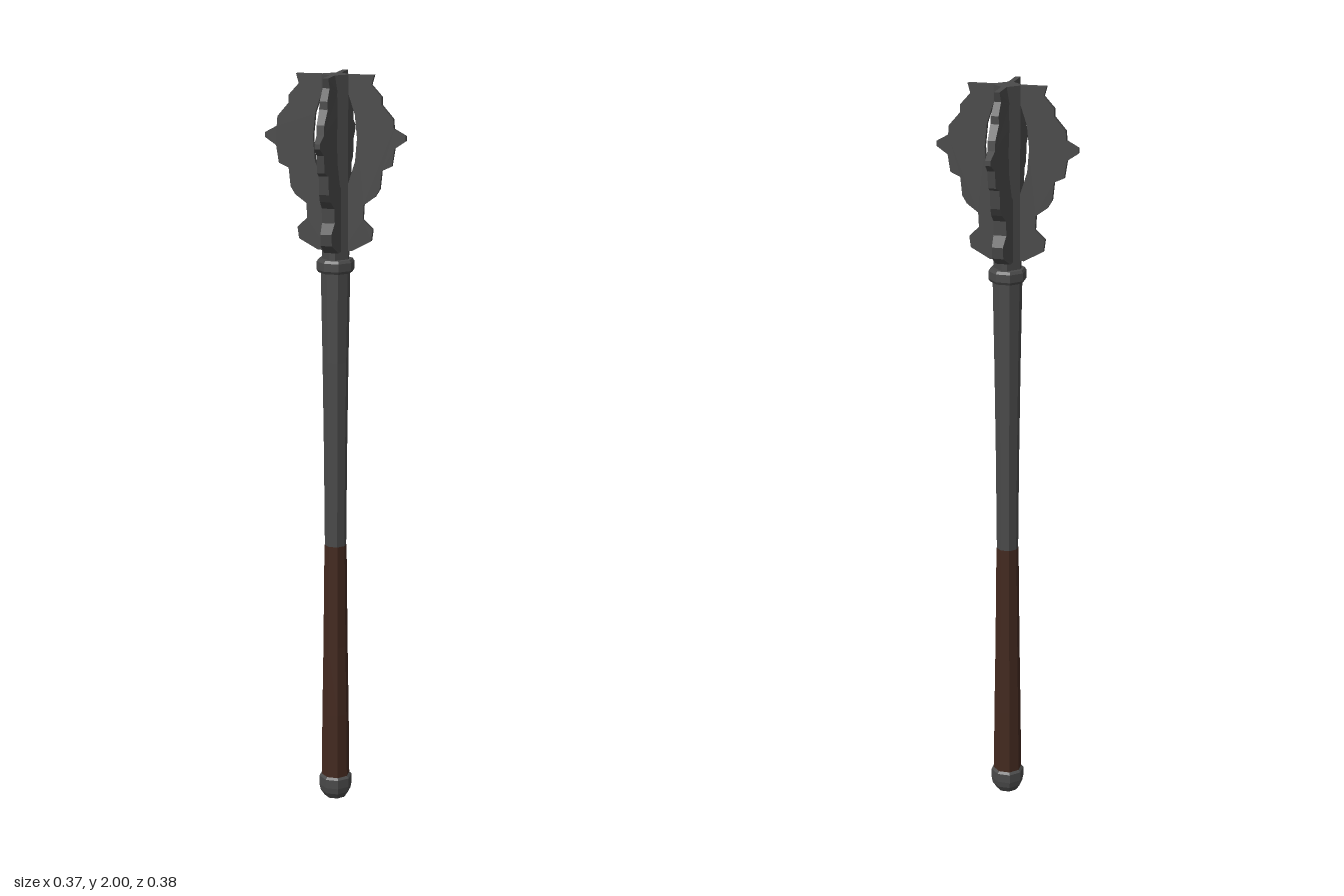
import * as THREE from 'three';

export function createModel() {
  const model = new THREE.Group();
  model.name = 'flangedMace';

  const material = (name, color) => {
    const m = new THREE.MeshStandardMaterial({ color, flatShading: true });
    m.name = name;
    return m;
  };
  const steel = material('darkSteel', 0x4a4a4a);
  const leather = material('brownLeather', 0x43291f);

  const add = (name, geometry, mat, parent = model) => {
    const mesh = new THREE.Mesh(geometry, mat);
    mesh.name = name;
    parent.add(mesh);
    return mesh;
  };

  // Eight-sided turned part; radii are measured to the flats facing the axes
  const turned = (name, profile, mat) => {
    const k = 1 / Math.cos(Math.PI / 8);
    const points = profile.map(([r, y]) => new THREE.Vector2(r * k, y));
    return add(name, new THREE.LatheGeometry(points, 8, Math.PI / 8), mat);
  };

  turned('pommel', [[0, 0], [0.028, 0], [0.039, 0.018], [0.042, 0.035], [0.042, 0.06], [0.036, 0.066], [0, 0.066]], steel);
  turned('grip', [[0.036, 0.06], [0.034, 0.25], [0.031, 0.45], [0.028, 0.74]], leather);
  turned('shaft', [[0.027, 0.735], [0.029, 1.0], [0.032, 1.25], [0.036, 1.495]], steel);
  turned('collar', [[0, 1.49], [0.042, 1.49], [0.046, 1.497], [0.046, 1.518], [0.042, 1.525], [0, 1.525]], steel);

  // Diamond core with clipped corners
  const a = 0.035, b = 0.007;
  const coreShape = new THREE.Shape(
    [[a, -b], [a, b], [b, a], [-b, a], [-a, b], [-a, -b], [-b, -a], [b, -a]].map(([x, y]) => new THREE.Vector2(x, y))
  );
  const coreGeometry = new THREE.ExtrudeGeometry(coreShape, { depth: 0.48, bevelEnabled: false });
  coreGeometry.rotateX(-Math.PI / 2).translate(0, 1.52, 0);
  add('headCore', coreGeometry, steel);

  // Toothed flange outline: outer edge downward, then the inner edge with its opening
  const outline = [
    [0.02, 2.0], [0.102, 2.0], [0.095, 1.975], [0.122, 1.945], [0.122, 1.925],
    [0.152, 1.89], [0.154, 1.865], [0.185, 1.848], [0.185, 1.835], [0.156, 1.815],
    [0.149, 1.77], [0.123, 1.758], [0.118, 1.71], [0.106, 1.69], [0.076, 1.668],
    [0.074, 1.63], [0.1, 1.605], [0.096, 1.575], [0.045, 1.547], [0.02, 1.547],
    [0.02, 1.71], [0.034, 1.72], [0.053, 1.78], [0.058, 1.84], [0.052, 1.9], [0.034, 1.955], [0.02, 1.955]
  ];

  const flange = (stretch, thicken) => {
    const shape = new THREE.Shape(outline.map(([r, y]) => new THREE.Vector2(r * stretch, y)));
    const geometry = new THREE.ExtrudeGeometry(shape, { depth: 1, bevelEnabled: false });
    const p = geometry.attributes.position;
    // Root swells below the top edge and thins toward the teeth
    for (let i = 0; i < p.count; i++) {
      const inward = THREE.MathUtils.clamp((0.19 - p.getX(i)) / 0.15, 0, 1);
      const below = THREE.MathUtils.clamp((2 - p.getY(i)) / 0.1, 0, 1);
      const half = 0.007 + thicken * inward * below;
      p.setZ(i, (p.getZ(i) - 0.5) * 2 * half);
    }
    geometry.computeVertexNormals();
    return geometry;
  };

  const sideFlange = flange(1, 0);
  const frontFlange = flange(1.04, 0.013);
  ['leftFlange', 'backFlange', 'rightFlange', 'frontFlange'].forEach((name, i) => {
    add(name, i % 2 ? frontFlange : sideFlange, steel).rotation.y = i * Math.PI / 2;
  });

  return model;
}
